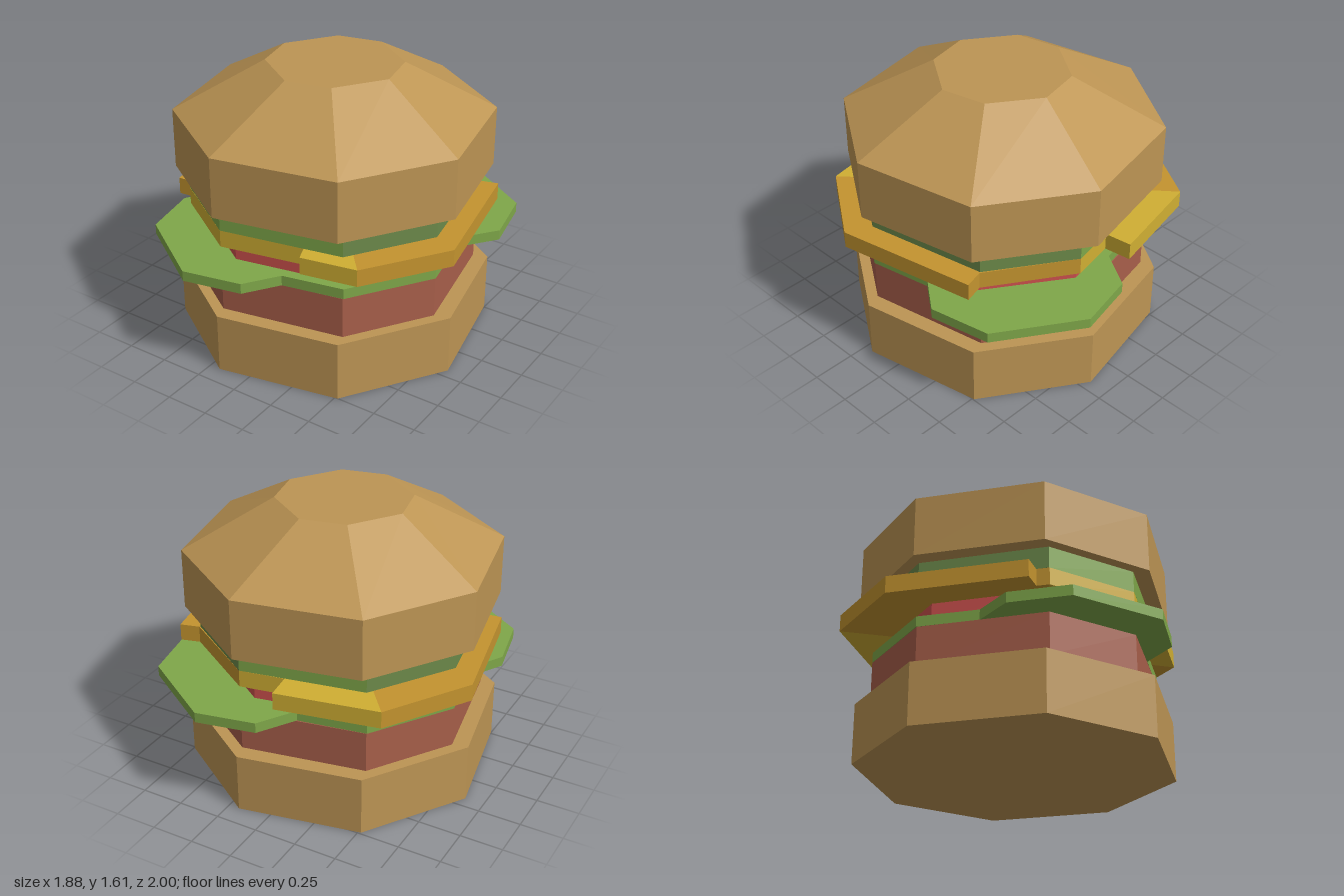
import * as THREE from 'three';

const material = (name, color) => {
  const m = new THREE.MeshStandardMaterial({ color, flatShading: true });
  m.name = name;
  return m;
};

// Eight-sided outline from two neighbouring [x, z] corners turned in quarter steps
function octagon(a, b, cz = 0.01) {
  const ring = [];
  for (let k = 0; k < 4; k++) {
    for (const p of [a, b]) {
      let [x, z] = p;
      for (let i = 0; i < k; i++) [x, z] = [z, -x];
      ring.push([x, z + cz]);
    }
  }
  return ring;
}

// Faceted slab between two outlines; tones picks the material of each outline edge
function slab(name, y0, y1, ring, mats, tones = [], topRing = ring) {
  const pos = [];
  const geo = new THREE.BufferGeometry();
  ring.forEach(([px, pz], i) => {
    const j = (i + 1) % ring.length;
    const p = [px, y0, pz], q = [ring[j][0], y0, ring[j][1]];
    const P = [topRing[i][0], y1, topRing[i][1]], Q = [topRing[j][0], y1, topRing[j][1]];
    const low = [0, y0, 0.01], high = [0, y1, 0.01];
    pos.push(...high, ...P, ...Q, ...low, ...q, ...p, ...p, ...q, ...Q, ...p, ...Q, ...P);
    geo.addGroup(i * 12, 12, tones[i] || 0);
  });
  geo.setAttribute('position', new THREE.Float32BufferAttribute(pos, 3));
  geo.computeVertexNormals();
  const mesh = new THREE.Mesh(geo, mats);
  mesh.name = name;
  return mesh;
}

export function createModel() {
  const bun = material('bun', 0xbd9554);
  const meat = material('meat', 0xa85f4a);
  const red = material('tomato red', 0xcd514d);
  const green = material('leaf green', 0x7fa749);
  const dullGreen = material('dull green', 0x6c8a4a);
  const yellow = material('cheese yellow', 0xd0af33);
  const orange = material('cheese orange', 0xc4942f);

  const bunRing = octagon([-0.185, 0.887], [0.517, 0.745], 0.006);
  const domeRing = octagon([-0.06, 0.386], [0.2, 0.33], 0.006);
  const pattyRing = octagon([-0.207, 0.797], [0.497, 0.662]);
  const tomatoRing = octagon([-0.16, 0.727], [0.42, 0.615]);

  // Two leaves poking out at opposite corners
  const leafRing = [
    [-0.32, 1], [0.02, 0.93], [0.15, 0.74], [0.5, 0.67], [0.8, 0.22], [0.73, -0.14],
    [0.89, -0.35], [0.82, -0.7], [0.36, -1], [0.02, -0.93], [-0.11, -0.72], [-0.5, -0.65],
    [-0.8, -0.2], [-0.73, 0.14], [-0.85, 0.35], [-0.78, 0.69],
  ];
  // Two folded cheese corners
  const cheeseRing = [
    [-0.207, 0.807], [0.288, 0.71], [0.312, 0.8], [0.63, 0.74], [0.94, 0.285], [0.78, -0.52],
    [0.67, -0.49], [0.207, -0.787], [-0.05, -0.74], [-0.07, -0.895], [-0.65, -0.78],
    [-0.945, -0.31], [-0.79, 0.45], [-0.675, 0.44], [-0.66, 0.51],
  ];

  const group = new THREE.Group();
  group.name = 'burger';
  group.add(
    slab('bottomBun', 0, 0.35, bunRing, [bun]),
    slab('patty', 0.35, 0.59, pattyRing, [meat]),
    slab('lettuceLeaves', 0.59, 0.65, leafRing, [green]),
    slab('tomato', 0.65, 0.747, tomatoRing, [red]),
    slab('cheese', 0.747, 0.846, cheeseRing, [yellow, orange],
      [0, 0, 0, 1, 1, 1, 1, 0, 0, 0, 1, 1, 1, 1, 0]),
    slab('upperLettuce', 0.846, 0.97, pattyRing, [green, dullGreen], [0, 1, 1, 1, 0, 1, 1, 0]),
    slab('topBun', 0.97, 1.32, bunRing, [bun]),
    slab('topBunDome', 1.32, 1.605, bunRing, [bun], [], domeRing),
  );
  return group;
}
